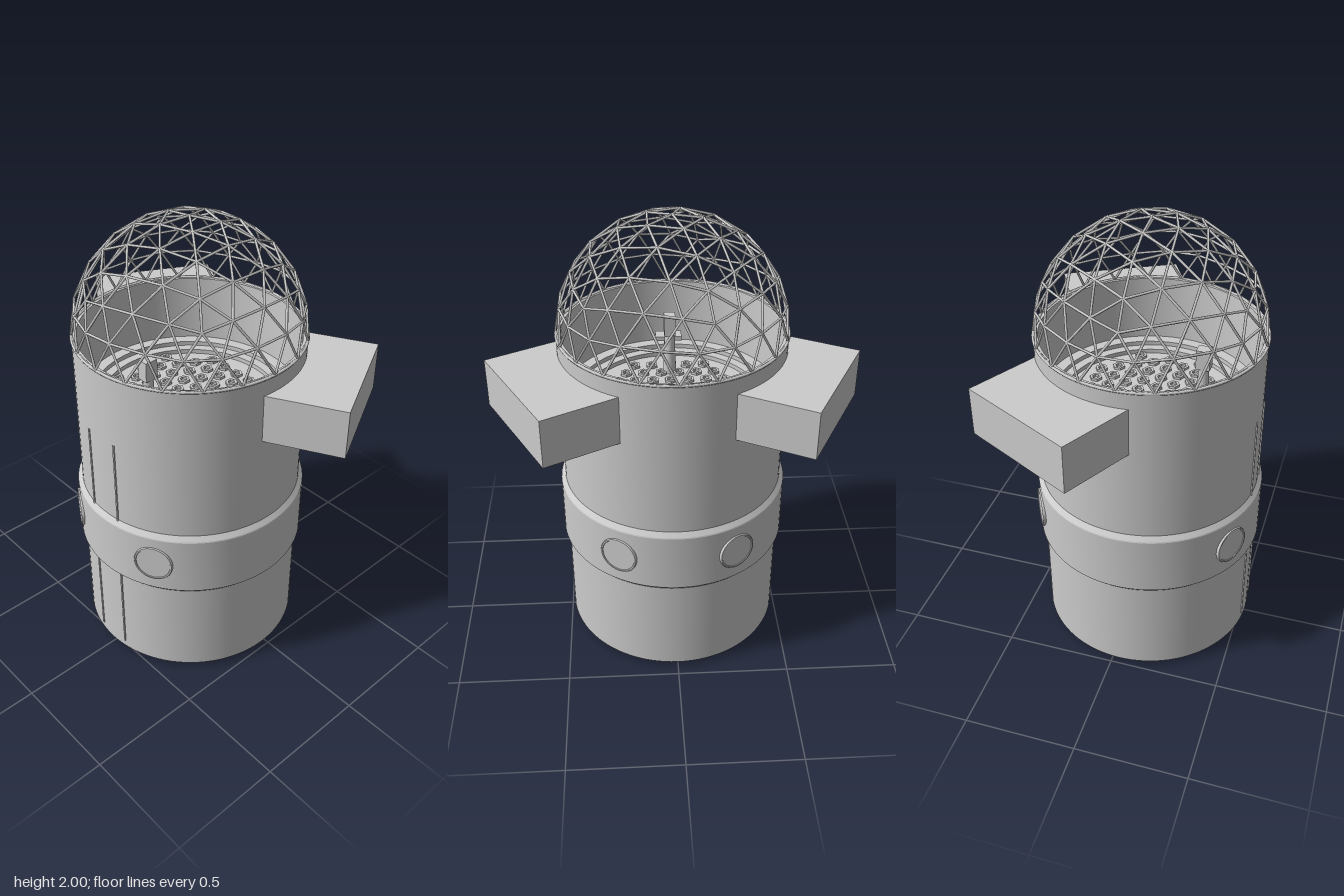
import * as THREE from 'three';
import { toCreasedNormals, mergeGeometries } from 'three/addons/utils/BufferGeometryUtils.js';

const CZ = 0.04; // axis of the round tower
const R = 0.49;
const material = new THREE.MeshStandardMaterial({ color: 0xcccccc, side: THREE.DoubleSide });

function add(parent, name, geometry, x = 0, y = 0, z = 0) {
  const mesh = new THREE.Mesh(geometry, material);
  mesh.name = name;
  mesh.position.set(x, y, z);
  parent.add(mesh);
  return mesh;
}

// Revolved profile with crisp edges
function lathe(points, segments = 96) {
  const profile = points.map(([r, y]) => new THREE.Vector2(r, y));
  return toCreasedNormals(new THREE.LatheGeometry(profile, segments), 0.35);
}

// Slim rod between two points
function strut(a, b, radius) {
  const dir = b.clone().sub(a);
  const g = new THREE.CylinderGeometry(radius, radius, dir.length(), 6, 1, true);
  g.applyQuaternion(new THREE.Quaternion().setFromUnitVectors(
    new THREE.Vector3(0, 1, 0), dir.clone().normalize()));
  return g.translate((a.x + b.x) / 2, (a.y + b.y) / 2, (a.z + b.z) / 2);
}

// Upper half of a four-frequency geodesic sphere, as rods
function domeFrame() {
  const ico = new THREE.IcosahedronGeometry(1, 3);
  ico.rotateZ(-Math.atan(2 / (1 + Math.sqrt(5)))); // one corner points up
  ico.rotateY(Math.PI);
  const pos = ico.attributes.position;
  const corner = (i) => new THREE.Vector3().fromBufferAttribute(pos, i);
  const key = (v) => v.toArray().map((n) => Math.round(n * 1000) + 0).join();
  const seen = new Set();
  const rods = [];
  for (let i = 0; i < pos.count; i += 3) {
    for (let k = 0; k < 3; k++) {
      const a = corner(i + k), b = corner(i + (k + 1) % 3);
      const id = [key(a), key(b)].sort().join('|');
      if (seen.has(id) || a.y < -0.02 || b.y < -0.02) continue;
      seen.add(id);
      const size = new THREE.Vector3(0.49, 0.495, 0.49);
      rods.push(strut(a.multiply(size), b.multiply(size), 0.0055));
    }
  }
  return mergeGeometries(rods);
}

// Side block whose inner end follows the round wall
function sideBlock() {
  const half = 0.274, r = 0.482;
  const end = Math.asin(half / r);
  const shape = new THREE.Shape();
  shape.moveTo(0.742, -half);
  shape.lineTo(0.742, half);
  shape.lineTo(r * Math.cos(end), half);
  shape.absarc(0, 0, r, end, -end, true);
  shape.closePath();
  const g = new THREE.ExtrudeGeometry(shape, { depth: 0.214, bevelEnabled: false, curveSegments: 24 });
  return toCreasedNormals(g.rotateX(-Math.PI / 2), 0.35);
}

export function createModel() {
  const model = new THREE.Group();
  model.name = 'domedTower';
  const tower = new THREE.Group();
  tower.name = 'tower';
  tower.position.z = CZ;
  model.add(tower);

  // Outer wall, rim and recessed underside
  add(tower, 'wall', lathe([
    [0.39, 0.09], [0.475, 0.09], [0.475, 0.025], [R, 0.025], [R, 1.5],
    [0.47, 1.5], [0.47, 1.2],
  ]));
  add(tower, 'foot', lathe([[0, 0], [0.39, 0], [0.39, 0.09]]));
  add(tower, 'belt', lathe([
    [R, 0.48], [0.508, 0.5], [0.51, 0.505], [0.51, 0.77], [0.508, 0.775], [R, 0.795],
  ]));

  // Stepped deck inside the dome
  add(tower, 'deck', lathe([
    [0, 1.16], [0.38, 1.16], [0.38, 1.18], [0.42, 1.18], [0.42, 1.2], [0.47, 1.2],
  ]));

  // Hexagonal cells spread over the deck
  const cells = [];
  const cell = lathe([
    [0.016, 0], [0.016, 0.012], [0.028, 0.012], [0.028, 0],
  ], 6);
  for (let row = -5; row <= 5; row++) {
    for (let col = -5; col <= 5; col++) {
      const x = (col + (row % 2 ? 0.5 : 0)) * 0.08;
      const z = row * 0.07;
      if (Math.hypot(x, z) < 0.35) cells.push(cell.clone().translate(x, 1.16, z));
    }
  }
  add(tower, 'deckCells', mergeGeometries(cells));

  // Console standing near the front of the deck
  const consoleGroup = new THREE.Group();
  consoleGroup.name = 'console';
  tower.add(consoleGroup);
  add(consoleGroup, 'consolePost', new THREE.CylinderGeometry(0.022, 0.03, 0.2, 16), 0, 1.26, 0.23);
  add(consoleGroup, 'consoleHead', new THREE.BoxGeometry(0.05, 0.09, 0.06), 0, 1.4, 0.23);
  add(consoleGroup, 'consoleDesk', new THREE.BoxGeometry(0.12, 0.02, 0.06), 0, 1.28, 0.35);
  add(consoleGroup, 'consoleLeg', new THREE.BoxGeometry(0.04, 0.11, 0.03), 0, 1.215, 0.35);

  // Geodesic dome and its seat ring
  add(tower, 'domeFrame', domeFrame(), 0, 1.5, 0);
  add(tower, 'domeRing', new THREE.TorusGeometry(R, 0.006, 6, 96).rotateX(Math.PI / 2), 0, 1.5, 0);

  // Swept-back blocks on both sides
  const sweep = THREE.MathUtils.degToRad(27.8);
  [['leftBlock', sweep], ['rightBlock', Math.PI - sweep]].forEach(([name, turn]) => {
    add(tower, name, sideBlock(), 0, 1.21, 0).rotation.y = turn;
  });

  // Four round ports on the belt: raised frame around a flat pane
  const port = lathe([
    [0, 0.003], [0.076, 0.003], [0.078, 0.006], [0.084, 0.006], [0.086, 0.003], [0.086, -0.02],
  ], 48).rotateX(Math.PI / 2);
  [30, 150, 210, 330].forEach((deg) => {
    const a = THREE.MathUtils.degToRad(deg);
    const r = 0.51;
    add(tower, 'port', port, r * Math.sin(a), 0.64, r * Math.cos(a)).rotation.y = a;
  });

  // Slim upright rails on the front
  for (const side of [-1, 1]) {
    add(tower, 'frontRail', new THREE.BoxGeometry(0.008, 1.12, 0.012), side * 0.08, 0.62, 0.482);
  }
  return model;
}
